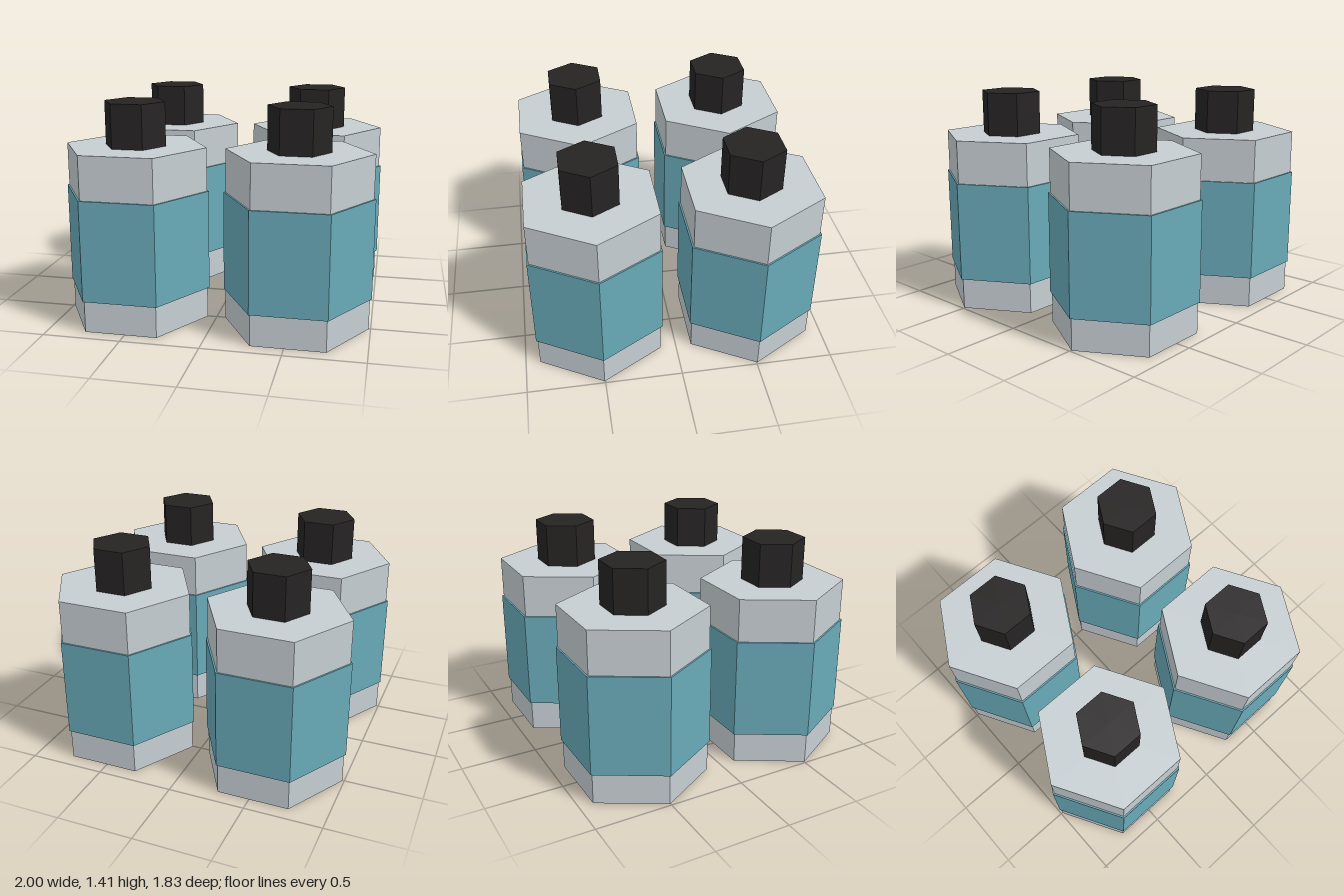
import * as THREE from 'three';

const paint = (color) => new THREE.MeshStandardMaterial({ color, flatShading: true });

// Hexagonal prism with corners on the x axis, from height y0 to y1
function hexPrism(name, radius, y0, y1, material) {
  const geometry = new THREE.CylinderGeometry(radius, radius, y1 - y0, 6, 1, false, Math.PI / 6);
  geometry.translate(0, (y0 + y1) / 2, 0);
  const mesh = new THREE.Mesh(geometry, material);
  mesh.name = name;
  return mesh;
}

export function createModel() {
  const model = new THREE.Group();
  model.name = 'bottles';
  const bodyPaint = paint(0xc6ced2);
  const labelPaint = paint(0x68aab8);
  const capPaint = paint(0x262323);

  // Four bottles in a two by two block
  for (const [xName, sx] of [['Left', 1], ['Right', -1]]) {
    for (const [zName, sz] of [['front', 1], ['back', -1]]) {
      const bottle = new THREE.Group();
      bottle.name = `${zName}${xName}Bottle`;
      bottle.add(
        hexPrism('body', 0.464, 0, 1.13, bodyPaint),
        hexPrism('labelBand', 0.476, 0.203, 0.85, labelPaint),
        hexPrism('cap', 0.2, 1.13, 1.412, capPaint),
      );
      bottle.position.set(sx * 0.524, 0, sz * 0.505);
      model.add(bottle);
    }
  }
  return model;
}
